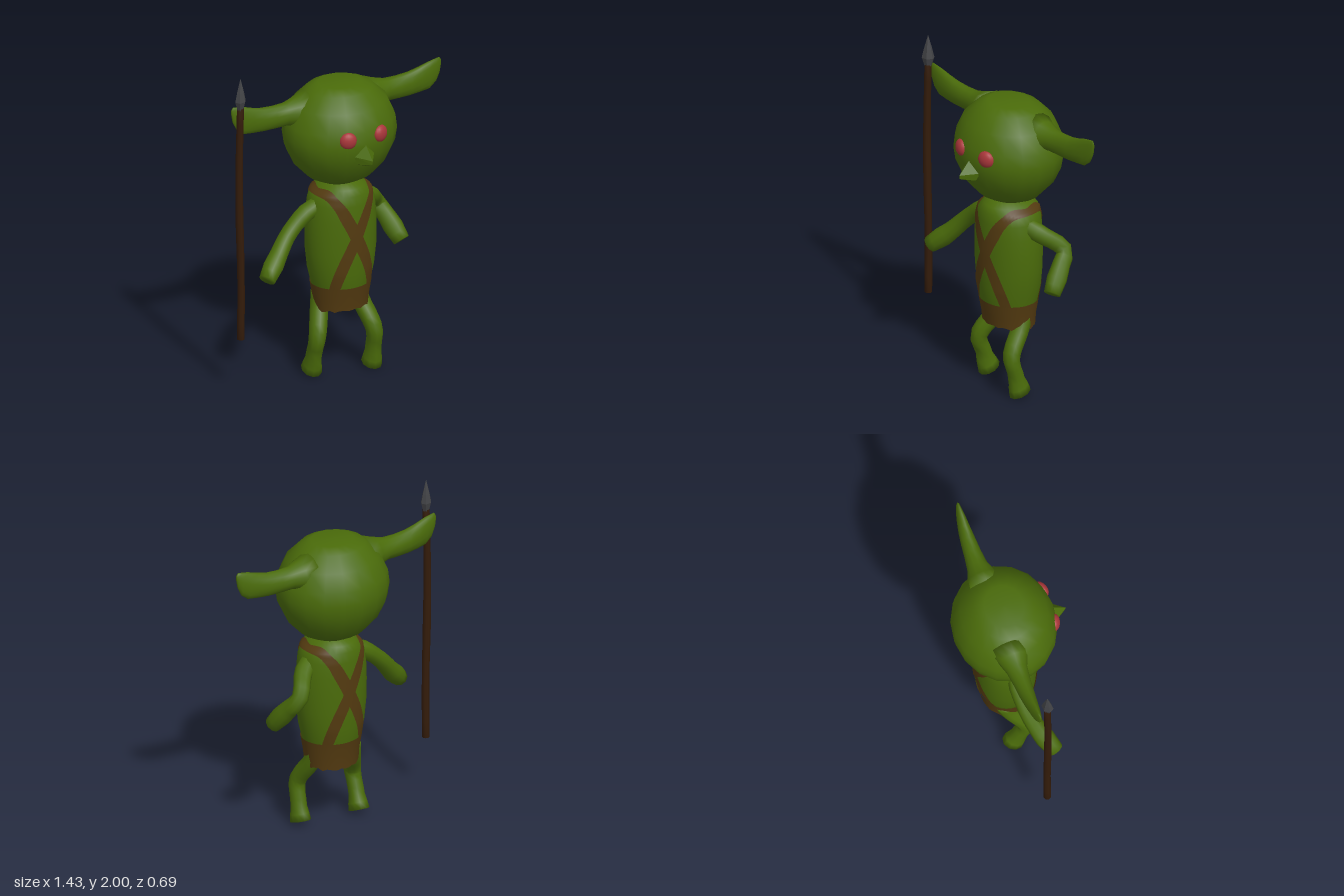
import * as THREE from 'three';
import { ConvexGeometry } from 'three/addons/geometries/ConvexGeometry.js';

const V = (x, y, z) => new THREE.Vector3(x, y, z);
const TAU = Math.PI * 2;

function material(name, color, side = THREE.FrontSide) {
  const m = new THREE.MeshStandardMaterial({ color, side });
  m.name = name;
  return m;
}

// Skin a list of rings; closed rings wrap around and can be capped at both ends.
function loft(rings, closed = true, capped = closed) {
  const n = rings[0].length, pts = rings.flat(), idx = [];
  for (let i = 0; i < rings.length - 1; i++) {
    for (let j = 0; j < (closed ? n : n - 1); j++) {
      const k = (j + 1) % n, a = i * n + j, b = i * n + k;
      idx.push(a, b, a + n, b, b + n, a + n);
    }
  }
  if (capped) {
    const last = (rings.length - 1) * n;
    for (const [start, ring, flip] of [[0, rings[0], true], [last, rings[rings.length - 1], false]]) {
      const c = pts.length;
      pts.push(ring.reduce((s, p) => s.add(p), V(0, 0, 0)).divideScalar(n));
      for (let j = 0; j < n; j++) {
        const a = start + j, b = start + (j + 1) % n;
        idx.push(c, flip ? b : a, flip ? a : b);
      }
    }
  }
  const g = new THREE.BufferGeometry().setFromPoints(pts);
  g.setIndex(idx);
  g.computeVertexNormals();
  return g;
}

// Tapered round limb along a smooth path.
function limb(points, radii, steps = 12, sides = 10) {
  const curve = new THREE.CatmullRomCurve3(points.map(p => V(...p)), false, 'centripetal');
  const f = curve.computeFrenetFrames(steps);
  const rings = [];
  for (let i = 0; i <= steps; i++) {
    const t = i / steps, c = curve.getPointAt(t);
    const u = t * (radii.length - 1), k = Math.min(Math.floor(u), radii.length - 2);
    const r = THREE.MathUtils.lerp(radii[k], radii[k + 1], u - k);
    rings.push(Array.from({ length: sides }, (_, j) => {
      const a = j / sides * TAU;
      return c.clone().addScaledVector(f.normals[i], r * Math.cos(a)).addScaledVector(f.binormals[i], r * Math.sin(a));
    }));
  }
  return loft(rings);
}

// Torso cross-sections: height, half width, half depth.
const TORSO = [
  [0.44, 0.158, 0.135], [0.57, 0.18, 0.162], [0.66, 0.203, 0.174], [0.78, 0.217, 0.18], [0.9, 0.219, 0.183],
  [1.0, 0.215, 0.183], [1.09, 0.203, 0.181], [1.15, 0.18, 0.173], [1.185, 0.135, 0.152], [1.22, 0.09, 0.1],
];

// Point on the torso; angle 0 is the front and grows towards +x.
function torsoPoint(angle, y, offset = 0) {
  let k = 0;
  while (k < TORSO.length - 2 && y > TORSO[k + 1][0]) k++;
  const [y0, w0, d0] = TORSO[k], [y1, w1, d1] = TORSO[k + 1];
  const t = Math.max(0, (y - y0) / (y1 - y0));
  return V(0.008 + Math.sin(angle) * (w0 + (w1 - w0) * t + offset), y,
    -0.03 + Math.cos(angle) * (d0 + (d1 - d0) * t + offset));
}

const torsoRing = (y, n, offset) => Array.from({ length: n }, (_, j) =>
  torsoPoint(j / n * TAU, typeof y === 'function' ? y(j) : y, offset));

// Strap that crosses the chest, narrows over one shoulder and crosses the back.
function strap(side) {
  const front = [[-0.75, 0.54], [-0.35, 0.73], [0, 0.89], [0.25, 1.0], [0.55, 1.1], [0.95, 1.155]];
  const back = front.map(([a, y]) => [Math.PI - a, y]).reverse();
  const path = new THREE.CatmullRomCurve3([...front, [Math.PI / 2, 1.162], ...back]
    .map(([a, y]) => V(a * 0.19, y, 0)), false, 'centripetal');
  const rings = [];
  for (let i = 0; i <= 80; i++) {
    const p = path.getPointAt(i / 80), t = path.getTangentAt(i / 80);
    const half = 0.015 + 0.018 * Math.min(1, Math.abs(i / 80 - 0.5) * 6);
    const row = [-1, -0.5, 0, 0.5, 1].map(w => torsoPoint(
      side * (p.x - t.y * w * half) / 0.19, p.y + t.x * w * half, 0.005));
    rings.push(side > 0 ? row.reverse() : row);
  }
  return loft(rings, false);
}

// Long ear: distance out, low edge, high edge, depth centre, thickness, front bulge.
function ear(side) {
  const sections = [
    [0.2, 1.54, 1.79, -0.07, 0.13, 0.9], [0.27, 1.585, 1.762, -0.07, 0.095, 0.9], [0.34, 1.605, 1.742, -0.072, 0.07, 0.8],
    [0.42, 1.602, 1.742, -0.072, 0.058, 0.8], [0.5, 1.602, 1.75, -0.07, 0.052, 0.75],
    [0.57, 1.607, 1.768, -0.068, 0.044, 0.7], [0.63, 1.615, 1.788, -0.066, 0.034, 0.7],
    [0.675, 1.65, 1.797, -0.066, 0.023, 0.7], [0.7, 1.7, 1.8, -0.066, 0.014, 0.7], [0.71, 1.75, 1.785, -0.066, 0.006, 0.7],
  ];
  return loft(sections.map(([x, lo, hi, z, t, bulge]) => Array.from({ length: 14 }, (_, j) => {
    const a = side * j / 14 * TAU, s = Math.sin(a);
    return V(side * x, (lo + hi) / 2 + (hi - lo) / 2 * Math.cos(a), z + t * s * (s > 0 ? bulge : 1));
  })));
}

export function createModel() {
  const model = new THREE.Group();
  const skin = material('green skin', 0x4a6b0a);
  const leather = material('brown leather', 0x533a10, THREE.DoubleSide);
  const eyeRed = material('red eye', 0xa8363a);
  const wood = material('dark wood', 0x341c0a);
  const iron = material('grey iron', 0x424346);
  const add = (name, geometry, mat) => {
    const mesh = new THREE.Mesh(geometry, mat);
    mesh.name = name;
    model.add(mesh);
    return mesh;
  };

  // Head: round with a flattened crown
  const profile = [[0, 1.195], [0.1, 1.2], [0.2, 1.25], [0.285, 1.34], [0.333, 1.44], [0.345, 1.52], [0.335, 1.6],
    [0.285, 1.71], [0.2, 1.79], [0.13, 1.82], [0, 1.822]].map(p => new THREE.Vector2(...p));
  const head = add('head', new THREE.LatheGeometry(profile, 18), skin);
  head.scale.z = 0.89;
  head.position.set(0.004, 0, -0.036);

  // Nose: a short wedge with wide wings
  add('nose', new ConvexGeometry([V(0, 1.535, 0.262), V(0, 1.452, 0.345), V(0, 1.43, 0.342), V(0.05, 1.412, 0.262),
    V(-0.05, 1.412, 0.262), V(0.07, 1.46, 0.245), V(-0.07, 1.46, 0.245), V(0, 1.395, 0.265), V(0, 1.45, 0.2)]), skin);

  // Ears, eyes and straps
  for (const s of [1, -1]) {
    const label = s > 0 ? 'left' : 'right';
    add(label + 'Ear', ear(s), skin);
    const eye = add(label + 'Eye', new THREE.SphereGeometry(0.052, 16, 12), eyeRed);
    eye.position.set(0.006 + s * 0.109, 1.565, 0.238);
    eye.scale.z = 0.62;
    eye.rotation.y = s * 0.35;
    add(label + 'Strap', strap(s), leather);
  }

  // Torso
  add('torso', loft(TORSO.map(([y]) => torsoRing(y, 28, 0))), skin);

  // Ragged loincloth, longer at the back
  const ragged = j => {
    const c = Math.cos(j / 36 * TAU);
    return 0.408 + 0.014 * c + 0.011 * Math.sin(j * 2.3) * (1 - c * c * 0.65);
  };
  add('loincloth', loft([torsoRing(ragged, 36, 0.008), torsoRing(0.48, 36, 0.007), torsoRing(0.57, 36, 0.006)], true, false), leather);

  // Arms
  const armRadii = [0.05, 0.055, 0.05, 0.05, 0.053, 0.06, 0.05];
  add('leftArm', limb([[0.15, 1.08, -0.02], [0.235, 1.03, -0.07], [0.335, 0.93, -0.172], [0.37, 0.85, -0.11], [0.41, 0.725, -0.01]], armRadii), skin);
  add('rightArm', limb([[-0.14, 1.08, -0.02], [-0.23, 1.035, -0.03], [-0.35, 0.935, -0.02], [-0.45, 0.825, 0.02], [-0.555, 0.725, 0.078]], armRadii), skin);

  // Legs, with feet that flare and slope up at the heel
  const legs = {
    leftLeg: [[0.12, 0.5, -0.05], [0.135, 0.41, -0.01], [0.165, 0.26, 0.088], [0.175, 0.15, 0.065], [0.18, 0.025, 0.035]],
    rightLeg: [[-0.1, 0.5, -0.08], [-0.125, 0.41, -0.05], [-0.185, 0.26, 0.03], [-0.185, 0.15, -0.005], [-0.18, 0.03, -0.045]],
  };
  for (const [name, path] of Object.entries(legs)) {
    const g = limb(path, [0.055, 0.054, 0.054, 0.052, 0.047, 0.048, 0.06]);
    const p = g.attributes.position, footZ = path[4][2];
    for (let i = 0; i < p.count; i++) {
      if (p.getY(i) < 0.1) {
        const dz = p.getZ(i) - footZ;
        p.setY(i, Math.max(0.002, p.getY(i) - dz * 0.15));
        p.setZ(i, footZ + dz * 1.12);
      }
    }
    g.computeVertexNormals();
    add(name, g, skin);
  }

  // Spear with a slightly crooked shaft
  add('spearShaft', limb([[-0.678, 0.345, -0.015], [-0.676, 0.7, -0.015], [-0.686, 1.1, -0.015], [-0.689, 1.4, -0.015],
    [-0.68, 1.81, -0.015]], [0.023, 0.022, 0.024, 0.022, 0.021], 14, 8), wood);
  const tip = new THREE.LatheGeometry([[0, 1.795], [0.02, 1.795], [0.039, 1.855], [0.026, 1.91], [0, 2]].map(p => new THREE.Vector2(...p)), 6).toNonIndexed();
  tip.computeVertexNormals();
  const tipMesh = add('spearTip', tip, iron);
  tipMesh.rotation.y = Math.PI / 6;
  tipMesh.scale.z = 0.8;
  tipMesh.position.set(-0.68, 0, -0.015);
  return model;
}
